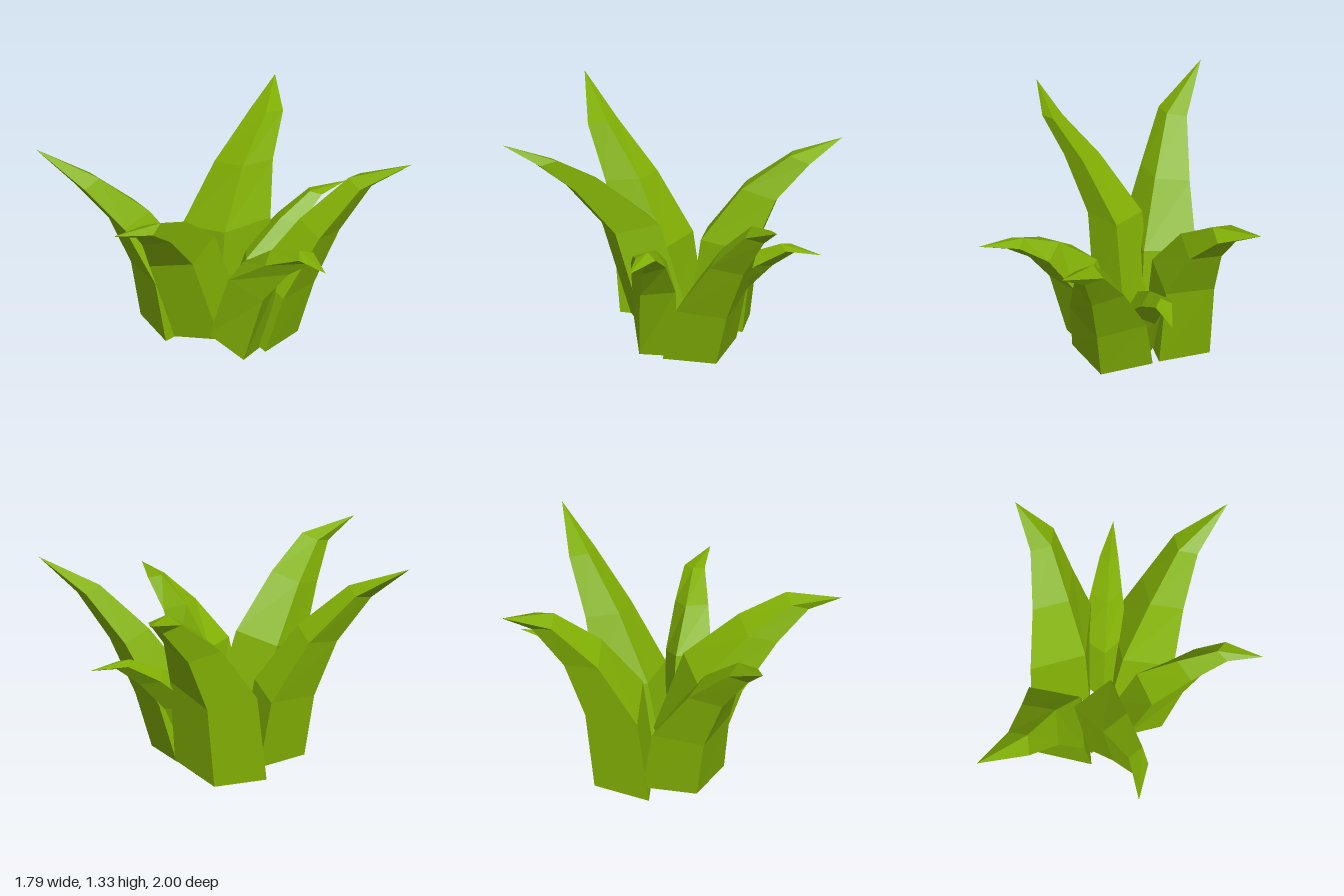
import * as THREE from 'three';

const green = new THREE.MeshStandardMaterial({ color: 0x82b004, flatShading: true });

// Four-sided tapering blade: diamond cross-sections rise from base to bend, then meet at the tip.
// yaw = heading of the outer keel, twist = its change up the leaf, rise and lean = how far
// the lower joint is on its way to the bend, sway = sideways shift of the lower joint,
// tilt = slope of the base towards the keel, roll = slope of the base from side to side.
function leafGeometry({ base, bend, tip, yaw, width, depth, rise, lean, twist = 0, sway = 0, tilt = 0.1, roll = 0 }) {
  const up = [0, rise, 0.5 + 0.6 * rise, 1];
  const along = [0, lean, lean + 0.38, 1];
  const taper = [1.05, 1, 0.66, 0.38];
  const swayAt = [0, sway, sway / 2, 0];
  const points = [];
  const faces = [0, 2, 1, 0, 3, 2];

  for (let i = 0; i < 4; i++) {
    const centre = new THREE.Vector3(...base).lerp(new THREE.Vector3(...bend), along[i]);
    centre.x += swayAt[i];
    centre.y = THREE.MathUtils.lerp(base[1], bend[1], up[i]);
    // The keel side drops and the raised side edge levels out as the leaf bends outward
    const drop = THREE.MathUtils.lerp(tilt, 0.4, up[i]);
    const a = yaw + twist * along[i];
    const out = new THREE.Vector3(Math.sin(a), -drop, Math.cos(a)).multiplyScalar(depth * taper[i] / 2);
    const side = new THREE.Vector3(Math.cos(a), roll * (1 - along[i]), -Math.sin(a)).multiplyScalar(width * taper[i] / 2);
    points.push(
      centre.clone().add(out), centre.clone().add(side),
      centre.clone().sub(out), centre.clone().sub(side),
    );
    for (let j = 0; j < 4; j++) {
      const p = i * 4 + j;
      const q = i * 4 + (j + 1) % 4;
      if (i < 3) faces.push(p, q, q + 4, p, q + 4, p + 4);
      else faces.push(p, q, 16);
    }
  }
  points.push(new THREE.Vector3(...tip));

  const geometry = new THREE.BufferGeometry().setFromPoints(points).setIndex(faces).toNonIndexed();
  geometry.computeVertexNormals();
  return geometry;
}

export function createModel() {
  const plant = new THREE.Group();
  plant.name = 'leafyPlant';

  const addLeaf = (name, shape) => {
    const leaf = new THREE.Mesh(leafGeometry(shape), green);
    leaf.name = name;
    plant.add(leaf);
  };

  addLeaf('frontRightLeaf', {
    base: [-0.34, 0.09, 0.1], bend: [-0.635, 1.14, 0.54], tip: [-0.9, 1.33, 0.72],
    yaw: -0.93, width: 0.52, depth: 0.38, rise: 0.4, lean: 0.13, tilt: 0,
  });
  addLeaf('frontLeaf', {
    base: [-0.09, 0.12, 0.04], bend: [0.085, 1.205, 0.72], tip: [0.07, 1.28, 1],
    yaw: -0.37, width: 0.33, depth: 0.43, rise: 0.57, lean: 0.29, sway: -0.08,
  });
  addLeaf('leftLeaf', {
    base: [0.13, 0.11, 0.02], bend: [0.67, 0.935, -0.05], tip: [0.89, 0.94, 0],
    yaw: 1.1, twist: 0.5, width: 0.33, depth: 0.29, rise: 0.58, lean: 0.24, tilt: 0.35, roll: -0.4,
  });
  addLeaf('backLeftLeaf', {
    base: [0.11, 0.06, -0.25], bend: [0.465, 1.085, -0.705], tip: [0.73, 1.25, -0.89],
    yaw: 2.36, width: 0.5, depth: 0.37, rise: 0.36, lean: 0.19,
  });
  addLeaf('backLeaf', {
    base: [-0.08, 0.1, -0.23], bend: [0, 0.765, -0.78], tip: [0.04, 0.76, -1],
    yaw: Math.PI, width: 0.29, depth: 0.26, rise: 0.53, lean: 0.27,
  });
  addLeaf('backRightLeaf', {
    base: [-0.31, 0.045, -0.27], bend: [-0.41, 1.17, -0.76], tip: [-0.56, 1.26, -0.98],
    yaw: -2.38, width: 0.54, depth: 0.41, rise: 0.49, lean: 0.13, roll: -0.15,
  });

  return plant;
}
